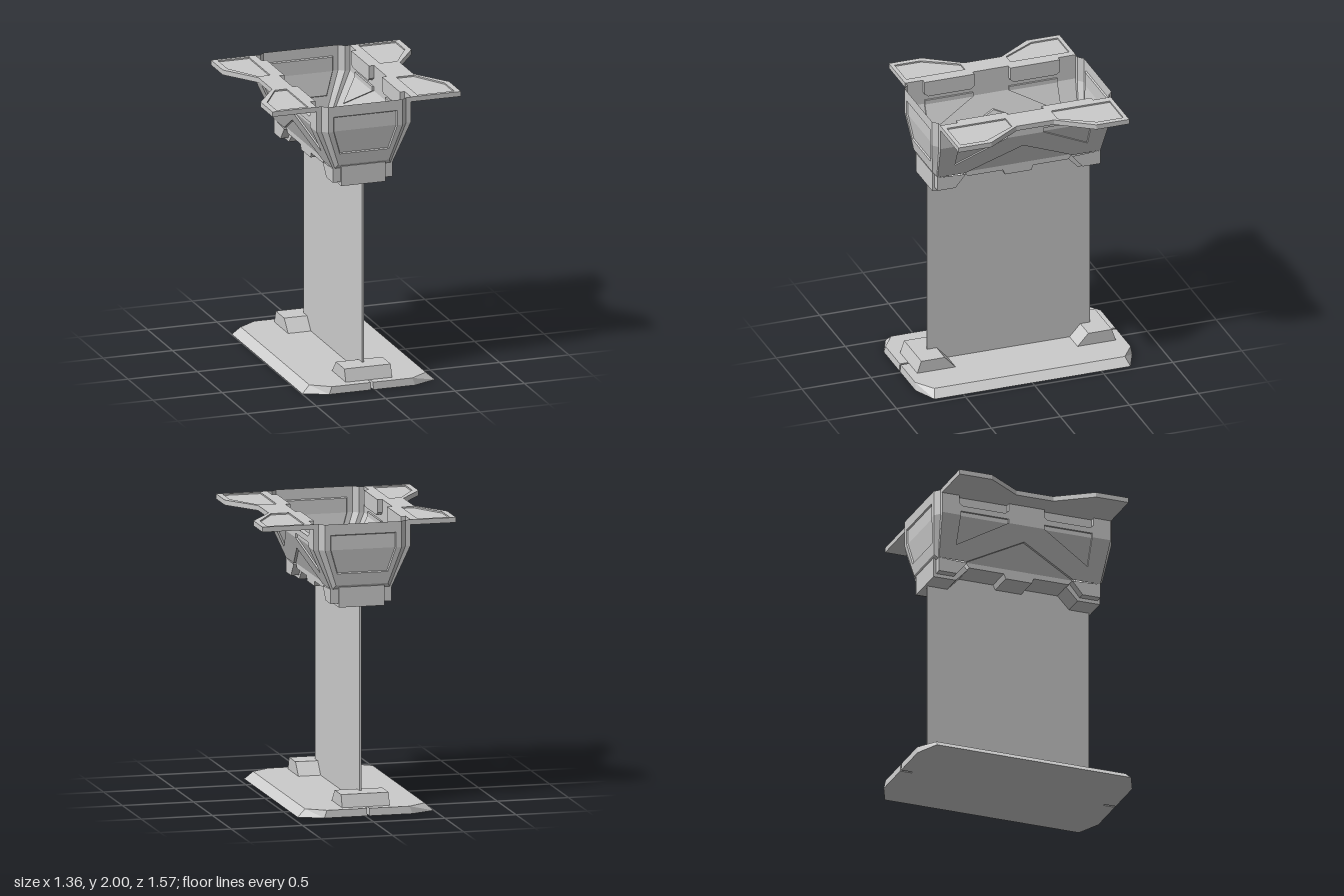
import * as THREE from 'three';

const CX = -0.02; // body, blade and base sit slightly off the wing axis
const BEND = 1.82; // height where the tub walls start to lean inwards
const material = new THREE.MeshStandardMaterial({ color: 0xcccccc, flatShading: true, side: THREE.DoubleSide });

function mesh(name, geometry, parent) {
  const m = new THREE.Mesh(geometry, material);
  m.name = name;
  parent.add(m);
  return m;
}

function fromTriangles(points) {
  const g = new THREE.BufferGeometry().setFromPoints(points);
  g.computeVertexNormals();
  return g;
}

// Quads between consecutive cross-sections of equal length
function skin(rows, closed = false) {
  const out = [];
  for (let r = 0; r < rows.length - 1; r++) {
    const a = rows[r], b = rows[r + 1], n = a.length;
    for (let i = 0; i < (closed ? n : n - 1); i++) {
      const j = (i + 1) % n;
      out.push(a[i], a[j], b[j], a[i], b[j], b[i]);
    }
  }
  return fromTriangles(out);
}

// Fill an outline, triangulated on the plane of the two given axes
function cap(points, u, v) {
  const flat = points.map((p) => new THREE.Vector2(p[u], p[v]));
  const tris = THREE.ShapeUtils.triangulateShape(flat, []);
  return fromTriangles(tris.flat().map((i) => points[i]));
}

const V = (x, y, z) => new THREE.Vector3(x, y, z);
const mirrorZ = (half) => [...half, ...half.map(([z, y]) => [-z, y]).reverse()];

// Horizontal plate from an (x, z) outline
function plate(outline, top, height, hole) {
  const shape = new THREE.Shape(outline.map(([x, z]) => new THREE.Vector2(x, z)));
  if (hole) shape.holes.push(new THREE.Path(hole.map(([x, z]) => new THREE.Vector2(x, z))));
  return new THREE.ExtrudeGeometry(shape, { depth: height, bevelEnabled: false })
    .rotateX(Math.PI / 2).translate(0, top, 0);
}

// Base plate with chamfered rim and a slot at each end
function addBase(body) {
  const ring = (x, zSide, xEnd, z, y) => {
    const half = [[x, zSide], [xEnd, z], [0.008, z], [0.008, 0.7], [-0.008, 0.7], [-0.008, z], [-xEnd, z], [-x, zSide]];
    return [...half, ...half.map(([a, b]) => [-a, -b])].map(([a, b]) => V(a, y, b));
  };
  const bottom = ring(0.4775, 0.71, 0.31, 0.785, 0);
  const top = ring(0.42, 0.69, 0.29, 0.78, 0.052);
  const base = new THREE.Group();
  base.name = 'base';
  body.add(base);
  mesh('baseRim', skin([bottom, top], true), base);
  mesh('baseTop', cap(top, 'x', 'z'), base);
  mesh('baseBottom', cap(bottom, 'x', 'z'), base);
  // Wedge blocks at both ends of the blade
  for (const s of [1, -1]) {
    const side = (x) => [[0.72, 0.05], [0.69, 0.138], [0.52, 0.138], [0.44, 0.05]].map(([z, y]) => V(x, y, s * z));
    mesh('baseBlock', skin([side(-0.167), side(0.167)], true), base);
    for (const x of [-0.167, 0.167]) mesh('baseBlockSide', cap(side(x), 'z', 'y'), base);
  }
}

// Leaning side walls with sunken panels
function addSideWall(body, s) {
  const wall = new THREE.Group();
  wall.name = s > 0 ? 'leftWall' : 'rightWall';
  body.add(wall);
  const lean = (y) => (y > BEND ? 0.34 : 0.215 + ((y - 1.54) / (BEND - 1.54)) * 0.125);
  const place = (outline, depth = 0) => outline.map(([z, y]) => V(s * (lean(y) - depth), y, z));
  const panel = (name, outline, depth, closed, faces = [outline]) => {
    mesh(name + 'Rim', skin([place(outline), place(outline, depth)], closed), wall);
    for (const f of faces) mesh(name, cap(place(f, depth), 'z', 'y'), wall);
  };

  const lower = mirrorZ([[0.39, 1.54], [0.59, 1.54], [0.615, BEND], [0.48, BEND], [0.48, 1.635], [0.13, BEND]]);
  lower.push([-0.0, 1.72]);
  mesh('lowerWall', cap(place(lower), 'z', 'y'), wall);
  const tab = [[0.49, 1.965], [0.49, 1.91], [0.465, 1.89], [0.155, 1.89], [0.13, 1.91], [0.13, 1.965]];
  const upper = mirrorZ([[0.13, BEND], [0.13, 1.85], [0.48, 1.85], [0.48, BEND], [0.615, BEND], [0.615, 2],
    [0.49, 2], ...tab.slice(1, 5), [0.13, 2]]);
  mesh('upperWall', cap(place(upper), 'z', 'y'), wall);

  panel('chevronPanel', [[-0.39, 1.54], [0, 1.72], [0.39, 1.54]], 0.017, false);
  for (const e of [1, -1]) {
    const flip = (o) => o.map(([z, y]) => [e * z, y]);
    const low = [[0.13, BEND], [0.48, 1.635], [0.48, BEND]];
    const high = [[0.48, BEND], [0.48, 1.85], [0.13, 1.85], [0.13, BEND]];
    panel('cornerPanel', flip([...low, ...high.slice(1, 3)]), 0.014, true, [flip(low), flip(high)]);
    panel('slotRecess', flip(tab), 0.035, false);
  }
}

// End wall: flat border, chamfer, face and sunken panel as nested outlines
function addEndWall(body, s) {
  const loop = (x, top, xb, yb, z, zb) => {
    const half = [[x, top, z], [x, BEND, z], [xb, yb, zb]];
    return [...half, ...half.map(([a, b, c]) => [-a, b, c]).reverse()].map(([a, b, c]) => V(a, b, s * c));
  };
  const border = loop(0.34, 2, 0.215, 1.54, 0.615, 0.59);
  const fold = loop(0.305, 2, 0.2, 1.54, 0.615, 0.59);
  const face = loop(0.268, 2, 0.183, 1.57, 0.65, 0.615);
  const rim = loop(0.23, 1.925, 0.178, 1.652, 0.65, 0.6265);
  const inset = loop(0.224, 1.919, 0.173, 1.658, 0.64, 0.617);
  const wall = new THREE.Group();
  wall.name = s > 0 ? 'frontWall' : 'backWall';
  body.add(wall);
  mesh('wallBorder', skin([border, fold, face]), wall);
  mesh('wallFace', skin([face, rim, inset], true), wall);
  const [a, b, c, d, e, f] = inset;
  mesh('wallPanel', skin([[a, f], [b, e], [c, d]]), wall);
}

// Floor with a shallow tray in the middle and a stepped trough at each end
function addFloor(body) {
  const floor = new THREE.Group();
  floor.name = 'floor';
  body.add(floor);
  const line = (profile, x, s = 1) => profile.map(([z, y]) => V(x, y, s * z));
  const strip = (name, profile, x0, x1, s) => mesh(name, skin([line(profile, x0, s), line(profile, x1, s)]), floor);

  const middle = mirrorZ([[0.365, 1.505], [0.11, 1.505], [0.095, 1.47]]);
  strip('floorPlate', middle, -0.198, 0.198);
  const side = [...middle, [-0.39, 1.54], [0.39, 1.54]];
  for (const x of [-0.198, 0.198]) mesh('floorSide', cap(line(side, x), 'z', 'y'), floor);

  const deep = [[0.36, 1.505], [0.445, 1.415], [0.608, 1.415], [0.608, 1.555], [0.59, 1.555]];
  const shallow = [[0.385, 1.53], [0.46, 1.44], [0.59, 1.44], [0.59, 1.54]];
  for (const s of [1, -1]) {
    strip('trough', deep, -0.16, 0.16, s);
    for (const t of [1, -1]) {
      strip('troughShoulder', shallow, t * 0.16, t * 0.215, s);
      mesh('troughSide', cap(line(shallow, t * 0.215, s), 'z', 'y'), floor);
      mesh('troughStep', cap(line([...deep, ...[...shallow].reverse()], t * 0.16, s), 'z', 'y'), floor);
    }
  }
}

// Wing with a sunken panel at each end
function addWing(model, s) {
  const wing = new THREE.Group();
  wing.name = s > 0 ? 'leftWing' : 'rightWing';
  model.add(wing);
  const inner = 0.34 + s * CX, slot = inner - 0.035;
  const both = (half) => mirrorZ(half.map(([x, z]) => [z, x])).map(([z, x]) => [s * x, z]);
  const outline = both([[inner, 0.13], [slot, 0.13], [slot, 0.49], [inner, 0.49], [inner, 0.618],
    [0.68, 0.618], [0.68, 0.38], [0.51, 0.135]].reverse());
  mesh('wingPlate', plate(outline, 1.99, 0.025), wing);
  const p = inner + 0.055;
  const panel = [[p, 0.165], [p, 0.59], [0.64, 0.59], [0.64, 0.4], [0.5, 0.165]];
  const shape = new THREE.Shape(outline.map(([x, z]) => new THREE.Vector2(x, z)));
  for (const e of [1, -1]) {
    shape.holes.push(new THREE.Path(panel.map(([x, z]) => new THREE.Vector2(s * x, e * z))));
  }
  const top = new THREE.ExtrudeGeometry(shape, { depth: 0.01, bevelEnabled: false });
  mesh('wingTop', top.rotateX(Math.PI / 2).translate(0, 2, 0), wing);
}

export function createModel() {
  const model = new THREE.Group();
  model.name = 'displayStand';
  const body = new THREE.Group();
  body.name = 'body';
  body.position.x = CX;
  model.add(body);

  addBase(body);
  // Thin upright blade between base and tub
  mesh('blade', new THREE.BoxGeometry(0.013, 1.47, 1.18), body).position.set(0.004, 0.785, 0);
  addFloor(body);
  for (const s of [1, -1]) {
    addSideWall(body, s);
    addEndWall(body, s);
    addWing(model, s);
  }
  return model;
}
